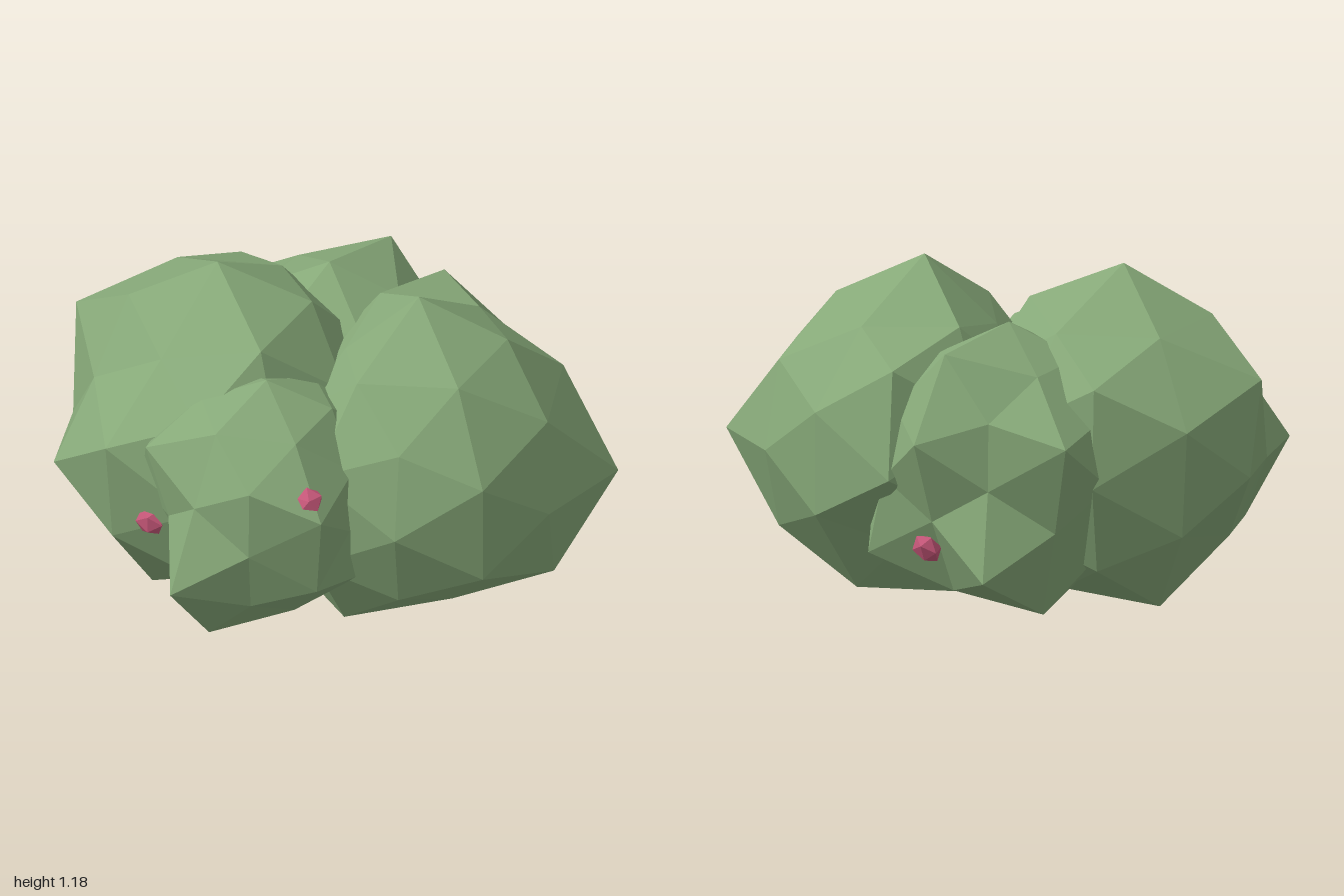
import * as THREE from 'three';

const leafGreen = new THREE.MeshStandardMaterial({ color: 0x86a878, flatShading: true });
leafGreen.name = 'leafGreen';
const berryPink = new THREE.MeshStandardMaterial({ color: 0xc8587a, flatShading: true });
berryPink.name = 'berryPink';

// Faceted foliage lump: an icosphere whose listed directions [x, y, z, radius]
// are pushed in or out, flattened where it meets the ground.
function foliage(name, center, radius, bumps) {
  const geo = new THREE.IcosahedronGeometry(1, 1);
  const pos = geo.attributes.position;
  const dirs = bumps.map(([x, y, z, r]) => [new THREE.Vector3(x, y, z).normalize(), r]);
  const v = new THREE.Vector3();
  for (let i = 0; i < pos.count; i++) {
    v.fromBufferAttribute(pos, i).normalize();
    const bump = dirs.find(([d]) => d.dot(v) > 0.985);
    v.multiplyScalar(bump ? bump[1] : radius);
    pos.setXYZ(i, v.x + center[0], Math.max(0, v.y + center[1]), v.z + center[2]);
  }
  geo.computeVertexNormals();
  const mesh = new THREE.Mesh(geo, leafGreen);
  mesh.name = name;
  return mesh;
}

// Berry flattened along the normal of the leaf it sits on
function berry(name, position, normal) {
  const geo = new THREE.IcosahedronGeometry(0.059, 0).scale(1, 1, 0.65);
  const mesh = new THREE.Mesh(geo, berryPink);
  mesh.position.set(...position);
  mesh.lookAt(new THREE.Vector3(...normal).add(mesh.position));
  mesh.name = name;
  return mesh;
}

export function createModel() {
  const bush = new THREE.Group();
  bush.name = 'bush';

  bush.add(foliage('leftFoliage', [0.28, 0.49, 0.06], 0.61, [
    [1, 0, 0, 0.72], [0, 1, 0, 0.67], [0, 0, 1, 0.58], [0, 0, -1, 0.7], [0, -1, 0, 0.49],
    [0, 0.53, -0.85, 0.73], [0, 0.53, 0.85, 0.56], [0, -0.53, 0.85, 0.58], [0, -0.53, -0.85, 0.55],
    [0.81, -0.5, 0.31, 0.64], [0.53, -0.85, 0, 0.51], [-0.53, -0.85, 0, 0.5],
    [0.31, -0.81, 0.5, 0.53], [-0.31, -0.81, 0.5, 0.7], [0.31, 0.81, -0.5, 0.57],
    [-0.53, 0.85, 0, 0.5], [-0.31, 0.81, 0.5, 0.58], [-0.31, 0.81, -0.5, 0.59],
    [-0.81, 0.5, 0.31, 0.5], [-0.81, 0.5, -0.31, 0.5],
  ]));

  bush.add(foliage('rightFoliage', [-0.46, 0.49, -0.03], 0.61, [
    [0, 1, 0, 0.69], [-1, 0, 0, 0.52], [0, -1, 0, 0.49], [0.53, 0.85, 0, 0.65],
    [-0.81, 0.5, -0.31, 0.667], [-0.81, 0.5, 0.31, 0.52],
    [-0.81, -0.5, 0.31, 0.51], [-0.81, -0.5, -0.31, 0.51],
    [-0.85, 0, 0.53, 0.635], [-0.5, 0.31, 0.81, 0.65], [-0.31, 0.81, 0.5, 0.53],
    [0.31, 0.81, 0.5, 0.67], [-0.5, 0.31, -0.81, 0.66], [0, 0.53, -0.85, 0.68],
    [-0.53, -0.85, 0, 0.47], [0.53, -0.85, 0, 0.5],
    [0.31, -0.81, 0.5, 0.55], [0.31, -0.81, -0.5, 0.55],
  ]));

  bush.add(foliage('frontFoliage', [-0.22, 0.49, 0.39], 0.45, [
    [0, 1, 0, 0.48], [0, 0, 1, 0.43], [0, 0.53, 0.85, 0.5],
    [0.5, 0.31, 0.81, 0.52], [-0.5, 0.31, 0.81, 0.42],
    [0.5, -0.31, 0.81, 0.48], [-0.5, -0.31, 0.81, 0.56],
    [-0.31, -0.81, 0.5, 0.54], [-0.31, 0.81, 0.5, 0.48], [0.31, -0.81, 0.5, 0.43],
    [0.81, -0.5, 0.31, 0.45], [0.81, 0.5, 0.31, 0.41], [0.85, 0, 0.53, 0.39],
    [-0.81, 0.5, 0.31, 0.51], [-0.85, 0, 0.53, 0.38], [-0.81, -0.5, 0.31, 0.36],
  ]));

  bush.add(foliage('backFoliage', [-0.1, 0.49, -0.33], 0.48, [
    [0, 1, 0, 0.53], [0, 0, -1, 0.41], [0, -0.53, -0.85, 0.6],
    [0, 0.53, -0.85, 0.47], [-0.5, 0.31, -0.81, 0.59], [0.5, 0.31, -0.81, 0.53],
    [0.5, -0.31, -0.81, 0.43], [0.81, -0.5, -0.31, 0.59],
    [0.31, 0.81, -0.5, 0.58], [-0.31, -0.81, -0.5, 0.58], [0.31, -0.81, -0.5, 0.5],
  ]));

  // Berries half sunk into the leaves
  bush.add(berry('frontBerry', [-0.02, 0.705, 0.74], [0.1, 0.9, 0.35]));
  bush.add(berry('rightBerry', [-0.62, 0.41, 0.51], [-0.2, 0, 1]));
  bush.add(berry('backBerry', [0.14, 0.25, -0.64], [0.35, -0.4, -0.85]));
  return bush;
}
